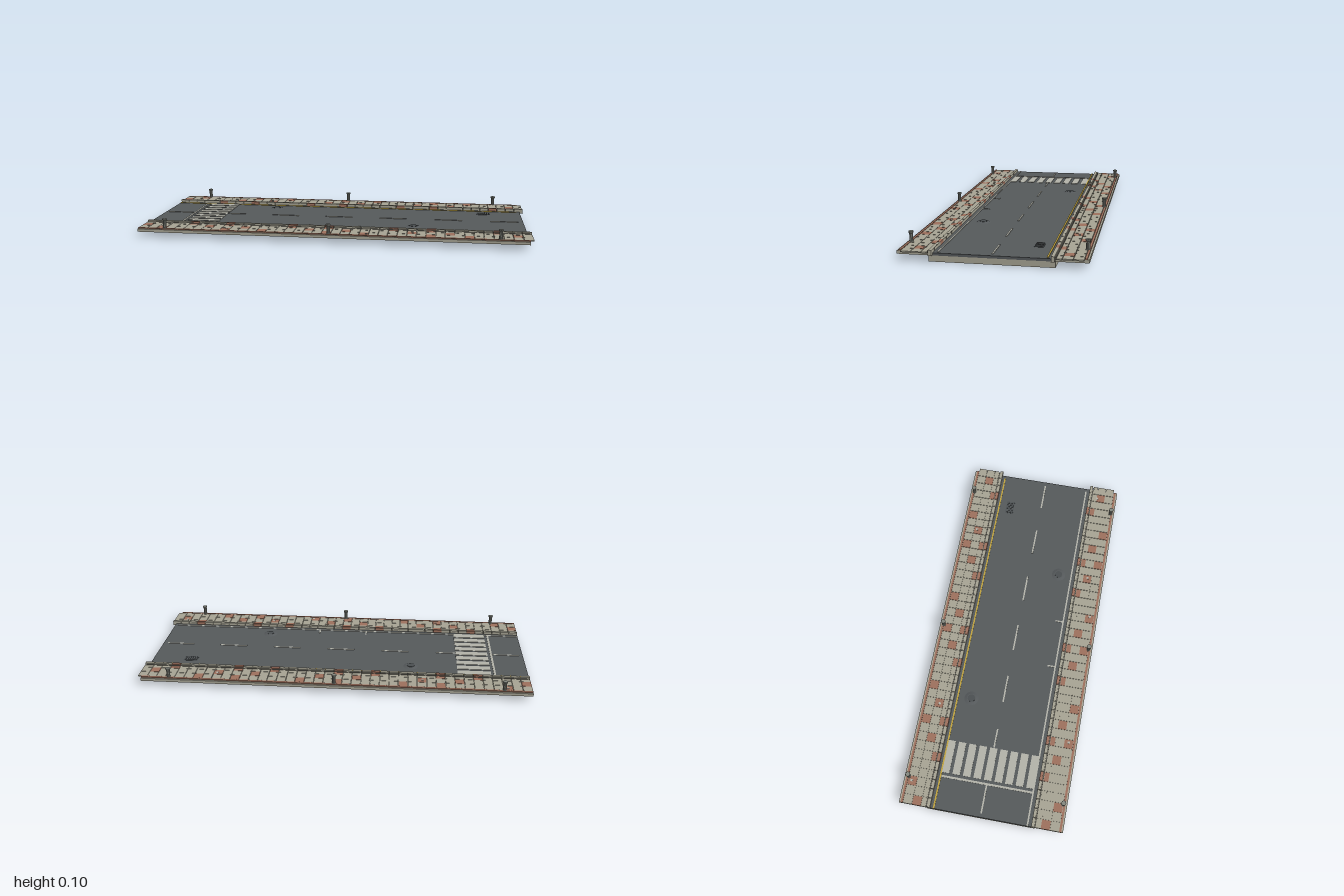
import * as THREE from 'three';
import { mergeGeometries } from 'three/addons/utils/BufferGeometryUtils.js';

const mat = (name, color) => {
  const m = new THREE.MeshStandardMaterial({ color });
  m.name = name;
  return m;
};

// box given by its min and max corners
function box(x0, x1, y0, y1, z0, z1) {
  return new THREE.BoxGeometry(x1 - x0, y1 - y0, Math.abs(z1 - z0))
    .translate((x0 + x1) / 2, (y0 + y1) / 2, (z0 + z1) / 2);
}

export function createModel() {
  const root = new THREE.Group();
  root.name = 'streetSection';
  const concrete = mat('concrete', 0xa6a393);
  const asphalt = mat('asphalt', 0x55595b);
  const brick = mat('brick', 0x9d705d);
  const white = mat('whitePaint', 0xb2b2a8);
  const yellow = mat('yellowPaint', 0xbfa23f);
  const iron = mat('iron', 0x4a4f51);
  const steel = mat('steel', 0x84877f);
  const joint = mat('joint', 0x5f5d55);

  const add = (name, geos, material, parent = root) => {
    const list = [].concat(geos);
    const mesh = new THREE.Mesh(list.length > 1 ? mergeGeometries(list) : list[0], material);
    mesh.name = name;
    parent.add(mesh);
    return mesh;
  };

  // roadbed and carriageway
  add('roadbed', box(-1, 0.982, 0, 0.028, -0.28, 0.28), concrete);
  add('carriageway', box(-1, 0.982, 0.028, 0.04, -0.265, 0.265), asphalt);

  // painted markings
  const paint = (x0, x1, z0, z1) => box(x0, x1, 0.04, 0.0425, z0, z1);
  add('yellowEdgeLine', paint(-1, 0.965, -0.248, -0.24), yellow);
  add('whiteEdgeLine', paint(-1, 0.965, 0.238, 0.246), white);
  add('stopLine', paint(-0.835, -0.824, -0.238, 0.238), white);
  const dashes = [];
  for (let i = 0; i < 7; i++) {
    const x = -0.98 + i * 0.298;
    dashes.push(paint(i === 1 ? -0.635 : x, x + 0.148, -0.004, 0.004));
  }
  add('centreDashes', dashes, white);
  const stripes = [];
  for (let i = -4; i <= 4; i++) stripes.push(paint(-0.81, -0.638, i * 0.0555 - 0.0195, i * 0.0555 + 0.0195));
  add('crosswalk', stripes, white);
  add('parkingTicks', [-0.14, 0.125].map(x => paint(x - 0.004, x + 0.004, 0.2, 0.238)), white);

  // pavements, mirrored on both sides
  const PITCH = 2 / 42, GAP = 0.001;
  const rows = [ // inner z, outer z, bottom, top, brick positions in a run of eleven
    { z0: 0.357, z1: 0.404, y0: 0.041, y1: 0.047, red: [2, 9] },
    { z0: 0.31, z1: 0.357, y0: 0.041, y1: 0.047, red: [0, 7] },
    { z0: 0.284, z1: 0.31, y0: 0.041, y1: 0.047, red: [5, 9] },
    { z0: 0.261, z1: 0.279, y0: 0.03, y1: 0.055, red: [5, 9] },
  ];
  for (const s of [-1, 1]) {
    const side = new THREE.Group();
    side.name = s > 0 ? 'frontPavement' : 'backPavement';
    root.add(side);
    add('slab', box(-1, 0.982, 0.028, 0.043, s * 0.28, s * 0.425), concrete, side);
    add('outerBrickEdge', box(-1, 0.982, 0.043, 0.048, s * 0.405, s * 0.416), brick, side);
    add('kerbJoint', box(-1, 0.99, 0.04, 0.049, s * 0.279, s * 0.284), joint, side);
    const plain = [], red = [];
    for (const r of rows) for (let i = 0; i < 42; i++) {
      const x = -1 + i * PITCH;
      const g = box(x + (i ? GAP : 0), x + PITCH - (i < 41 ? GAP : 0), r.y0, r.y1, s * (r.z0 + GAP), s * (r.z1 - GAP));
      (r.red.includes(i % 11) ? red : plain).push(g);
    }
    add('plainPavers', plain, concrete, side);
    add('brickPavers', red, brick, side);

    // bollards with a flared cap
    for (const x of [-0.86, -0.01, 0.84]) {
      const profile = [[0, 0.043], [0.0115, 0.043], [0.0115, 0.048], [0.009, 0.049], [0.009, 0.086],
        [0.0125, 0.089], [0.0125, 0.096], [0, 0.096]].map(p => new THREE.Vector2(...p));
      const b = add('bollard', new THREE.LatheGeometry(profile, 10).toNonIndexed(), steel, side);
      b.geometry.computeVertexNormals();
      b.position.set(x, 0, s * 0.404);
    }
  }

  // small pale chips on the paving
  const chips = [[-0.88, -0.385], [-0.455, -0.33], [0.6, -0.34], [0.925, 0.312], [0.41, 0.335], [0.18, 0.382], [-0.54, 0.38]];
  add('pavingChips', chips.map(([x, z]) => box(x - 0.006, x + 0.006, 0.047, 0.049, z - 0.006, z + 0.006)), white);

  // raised manhole covers
  for (const [x, z] of [[-0.395, -0.17], [0.405, 0.17]]) {
    const g = new THREE.Group();
    g.name = 'manhole';
    g.position.set(x, 0, z);
    root.add(g);
    add('collar', new THREE.CylinderGeometry(0.024, 0.038, 0.005, 16).translate(0, 0.0425, 0), asphalt, g);
    add('cover', new THREE.CylinderGeometry(0.02, 0.02, 0.002, 16).translate(0, 0.0455, 0), iron, g);
  }

  // drain grate
  const bars = [];
  for (let i = 0; i < 6; i++) bars.push(box(0.747 + i * 0.0115, 0.753 + i * 0.0115, 0.041, 0.044, -0.198, -0.162));
  add('drainFrame', box(0.742, 0.816, 0.04, 0.0415, -0.202, -0.158), iron);
  add('drainBars', bars, asphalt);
  return root;
}
